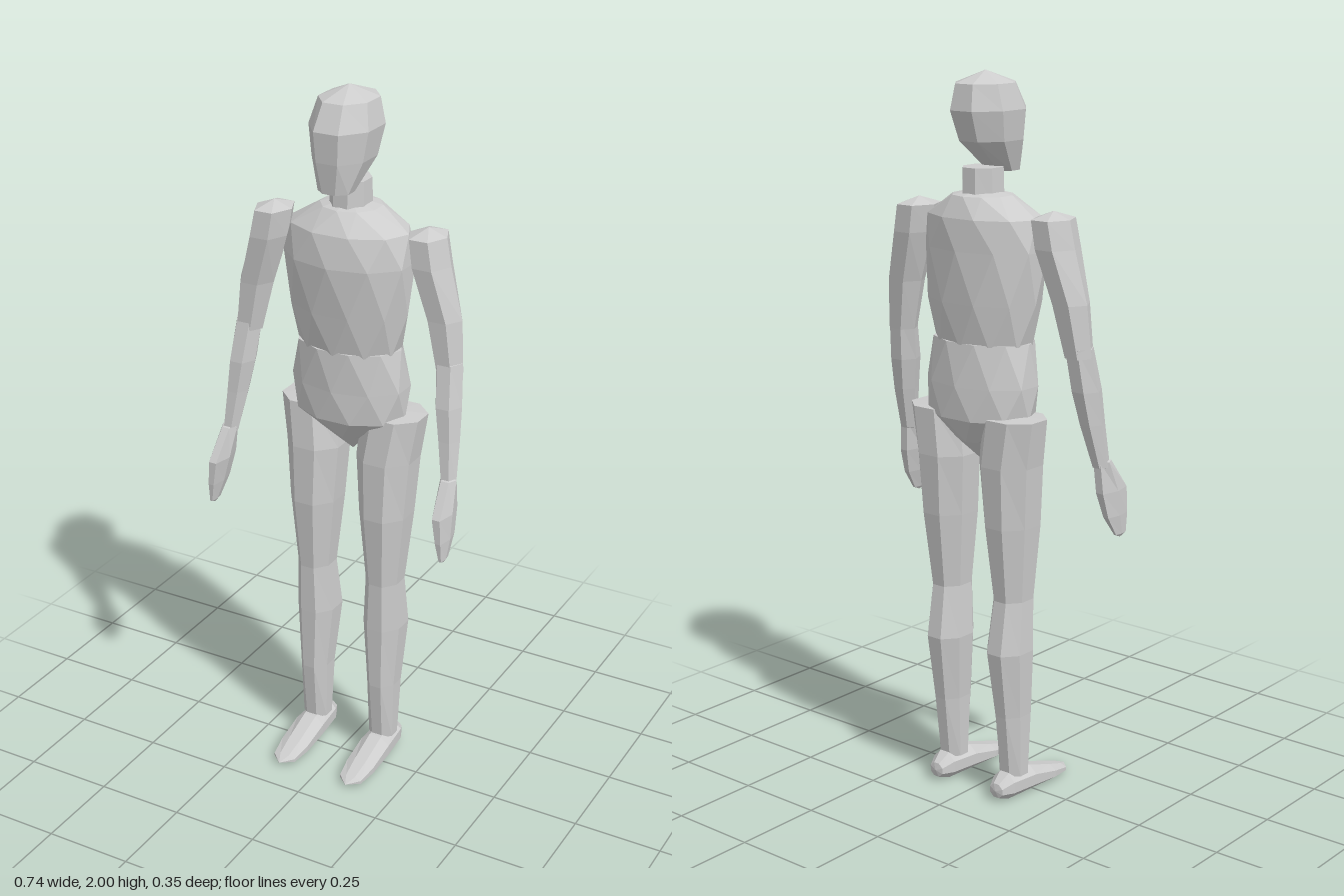
import * as THREE from 'three';

const skin = new THREE.MeshStandardMaterial({ color: 0xcccccc, flatShading: true });
skin.name = 'light grey';

// Faceted loft through rings [x, y, z, rx, rz], listed from the bottom up.
// twisted: every other ring turns half a step, giving triangular facets.
// low, high: how far the middle of each end cap bulges out.
function loft(rings, { sides = 8, twisted = false, low = 0, high = 0 } = {}) {
  const pos = [], idx = [];
  const half = k => (twisted ? k % 2 : 1) / 2;
  rings.forEach(([x, y, z, rx, rz], k) => {
    const grow = half(k) ? 1 / Math.cos(Math.PI / sides) : 1;
    for (let i = 0; i < sides; i++) {
      const a = (i + half(k)) / sides * Math.PI * 2;
      pos.push(x + rx * grow * Math.sin(a), y, z + rz * grow * Math.cos(a));
    }
  });
  const top = rings.length - 1;
  const [b, t] = [rings[0], rings[top]];
  pos.push(b[0], b[1] - low, b[2], t[0], t[1] + high, t[2]);
  const end = rings.length * sides;
  for (let i = 0; i < sides; i++) {
    const j = (i + 1) % sides;
    for (let k = 0; k < top; k++) {
      const l = k * sides, u = l + sides;
      if (half(k) > half(k + 1)) idx.push(l + i, l + j, u + j, l + i, u + j, u + i);
      else idx.push(l + i, l + j, u + i, l + j, u + j, u + i);
    }
    idx.push(end, j, i, end + 1, top * sides + i, top * sides + j);
  }
  const geo = new THREE.BufferGeometry();
  geo.setAttribute('position', new THREE.Float32BufferAttribute(pos, 3));
  geo.setIndex(idx);
  const flat = geo.toNonIndexed();
  flat.computeVertexNormals();
  return flat;
}

export function createModel() {
  const model = new THREE.Group();
  model.name = 'mannequin';
  const add = (name, geo) => {
    const mesh = new THREE.Mesh(geo, skin);
    mesh.name = name;
    model.add(mesh);
  };

  // Head and neck
  add('head', loft([
    [0, 1.737, 0.025, 0.045, 0.04],
    [0, 1.82, -0.02, 0.075, 0.095],
    [0, 1.9, -0.033, 0.087, 0.112],
    [0, 1.968, -0.045, 0.071, 0.087],
  ], { high: 0.032 }));
  add('neck', loft([[0, 1.66, -0.055, 0.052, 0.06], [0, 1.752, -0.055, 0.05, 0.057]]));

  // Chest and pelvis
  add('chest', loft([
    [0, 1.28, -0.053, 0.147, 0.1],
    [0, 1.4, -0.05, 0.165, 0.112],
    [0, 1.54, -0.045, 0.186, 0.126],
    [0, 1.625, -0.05, 0.165, 0.11],
    [0, 1.68, -0.058, 0.085, 0.08],
  ], { sides: 10, twisted: true, high: 0.02 }));
  add('pelvis', loft([
    [0, 1.02, -0.07, 0.055, 0.06],
    [0, 1.09, -0.063, 0.155, 0.108],
    [0, 1.18, -0.06, 0.172, 0.115],
    [0, 1.295, -0.053, 0.147, 0.1],
  ], { sides: 10, twisted: true, low: 0.055 }));

  for (const [side, s] of [['left', 1], ['right', -1]]) {
    const limb = (name, rings, options) => add(side + name,
      loft(rings.map(([x, ...rest]) => [x * s, ...rest]), options));

    // Arm
    limb('UpperArm', [
      [0.306, 1.28, -0.035, 0.035, 0.035],
      [0.284, 1.42, -0.043, 0.045, 0.046],
      [0.243, 1.56, -0.047, 0.048, 0.061],
      [0.23, 1.635, -0.05, 0.046, 0.06],
    ], { sides: 6, high: 0.02 });
    limb('Forearm', [
      [0.34, 0.98, 0.022, 0.019, 0.023],
      [0.327, 1.1, -0.002, 0.027, 0.034],
      [0.317, 1.19, -0.015, 0.033, 0.04],
      [0.306, 1.305, -0.035, 0.034, 0.035],
    ], { sides: 6, low: 0.01, high: 0.012 });
    limb('Hand', [
      [0.36, 0.785, 0.083, 0.006, 0.022],
      [0.355, 0.84, 0.068, 0.014, 0.043],
      [0.348, 0.91, 0.058, 0.02, 0.053],
      [0.341, 0.995, 0.025, 0.02, 0.024],
    ], { sides: 6, low: 0.01, high: 0.008 });

    // Leg
    limb('Thigh', [
      [0.11, 0.575, -0.06, 0.048, 0.058],
      [0.11, 0.8, -0.065, 0.069, 0.082],
      [0.11, 0.97, -0.072, 0.081, 0.086],
      [0.127, 1.1, -0.078, 0.084, 0.077],
    ], { low: 0.015, high: 0.005 });
    limb('Shin', [
      [0.11, 0.07, -0.058, 0.038, 0.038],
      [0.11, 0.25, -0.06, 0.043, 0.056],
      [0.108, 0.44, -0.072, 0.057, 0.071],
      [0.11, 0.59, -0.06, 0.049, 0.059],
    ], { high: 0.015 });

    // Foot, lofted from heel to toe and laid forward
    const foot = loft([
      [0.11 * s, -0.135, -0.038, 0.022, 0.02],
      [0.11 * s, -0.1, -0.044, 0.037, 0.038],
      [0.11 * s, -0.01, -0.041, 0.044, 0.037],
      [0.11 * s, 0.08, -0.026, 0.043, 0.022],
      [0.11 * s, 0.14, -0.018, 0.034, 0.011],
    ], { low: 0.005, high: 0.032 });
    add(side + 'Foot', foot.rotateX(Math.PI / 2));
  }
  return model;
}
